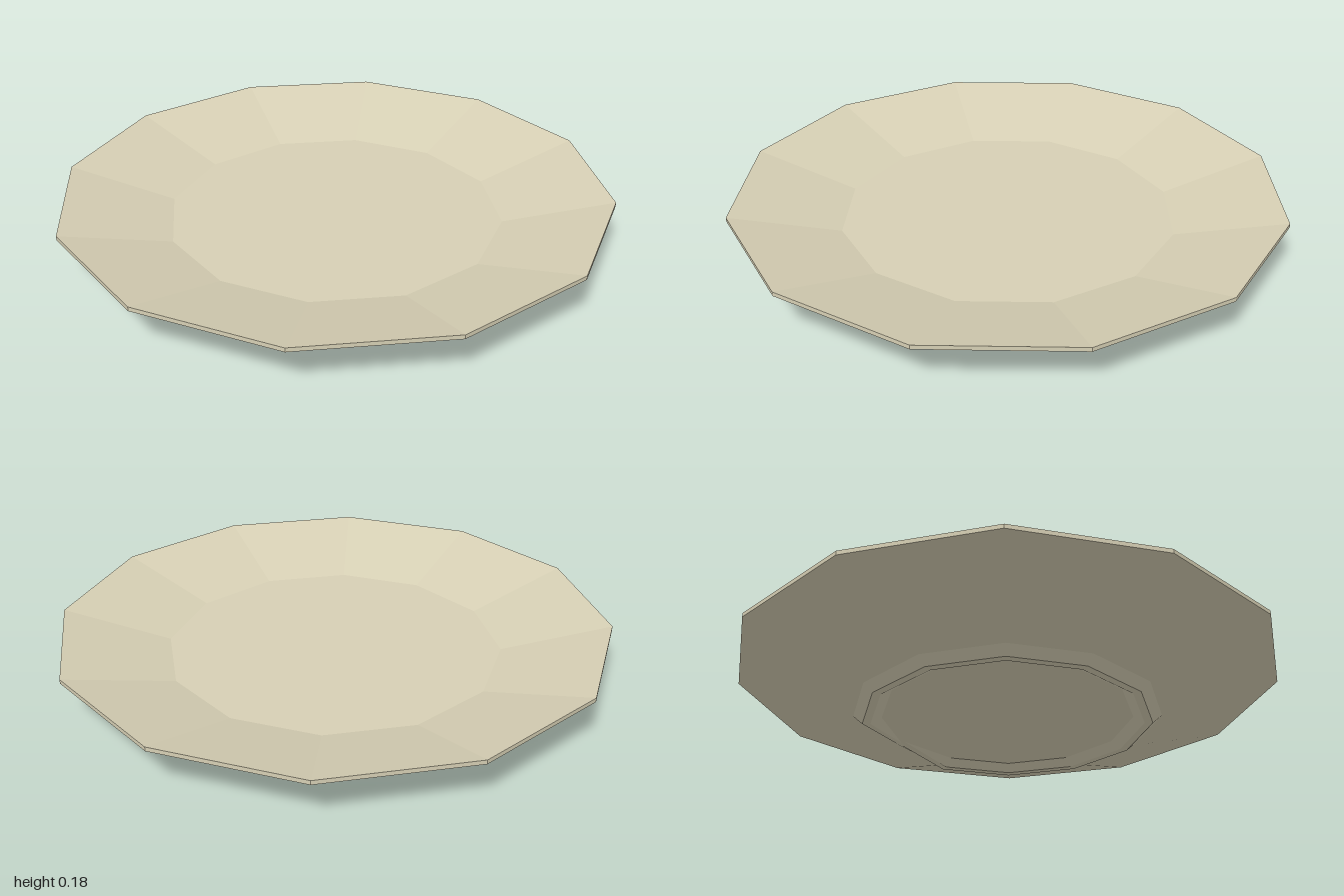
import * as THREE from 'three';

export function createModel() {
  const model = new THREE.Group();
  model.name = 'plate';

  // Closed section from the underside, around foot ring and rim, to the dish floor
  const profile = [
    [0, 0.025], [0.46, 0.025], [0.5, 0], [0.53, 0], [0.565, 0.03],
    [1, 0.165], [1, 0.18], [0.61, 0.073], [0, 0.073],
  ].map(([r, y]) => new THREE.Vector2(r, y));
  const geometry = new THREE.LatheGeometry(profile, 12);

  // Small chip in the foot ring at +x: its corner is pushed in and up
  const chip = { 2: [0.475, 0.024], 3: [0.485, 0.021], 4: [0.49, 0.02] };
  const position = geometry.attributes.position;
  for (const [j, [x, y]] of Object.entries(chip)) {
    position.setXYZ(3 * profile.length + Number(j), x, y, 0);
  }
  geometry.computeVertexNormals();

  const dish = new THREE.Mesh(
    geometry,
    new THREE.MeshStandardMaterial({ color: 0xd6cfb4, flatShading: true }),
  );
  dish.name = 'dish';
  model.add(dish);
  return model;
}
